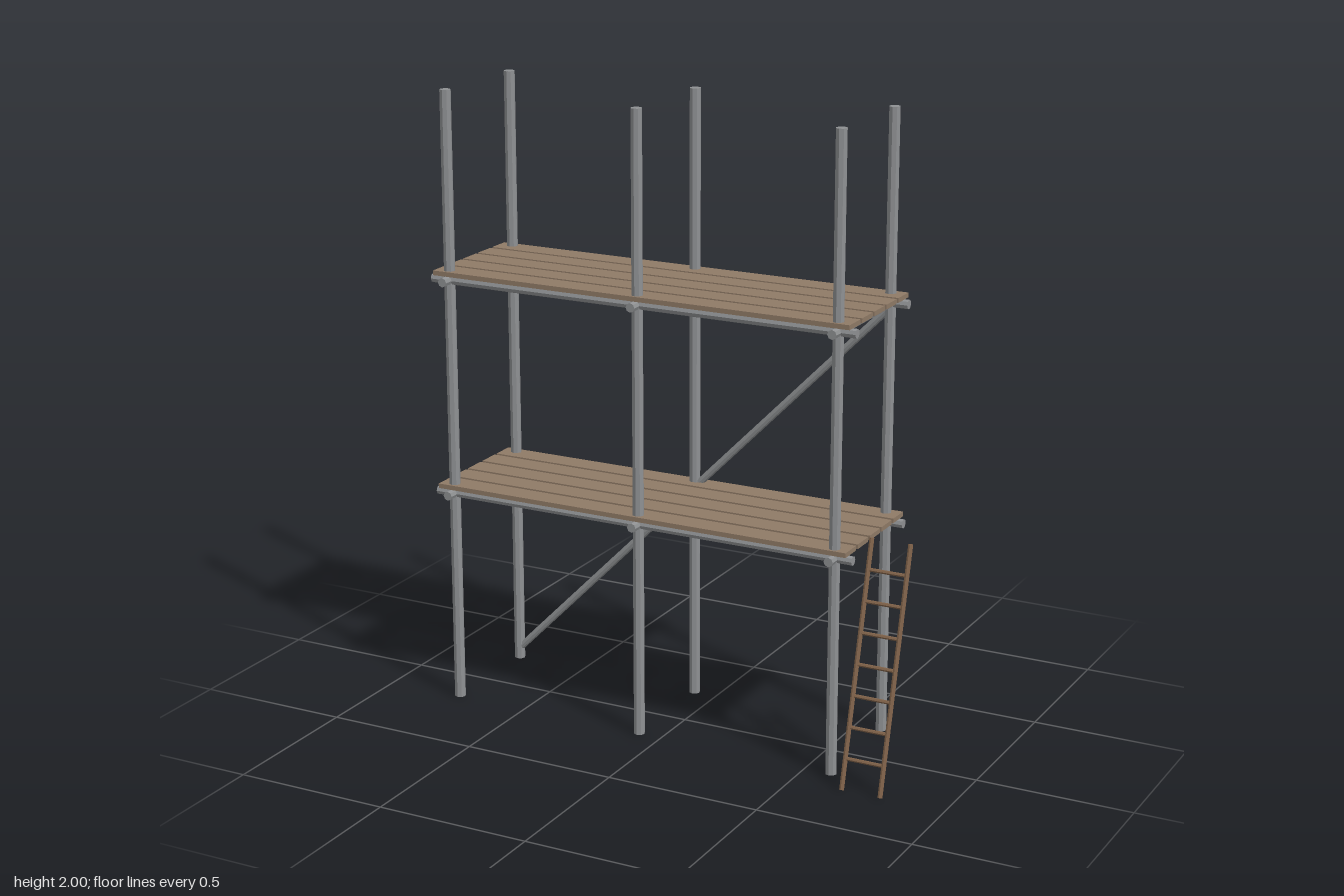
import * as THREE from 'three';

const V = (x, y, z) => new THREE.Vector3(x, y, z);

export function createModel() {
  const model = new THREE.Group();
  model.name = 'scaffold';

  const mat = (name, color) => {
    const m = new THREE.MeshStandardMaterial({ color, flatShading: true });
    m.name = name;
    return m;
  };
  const steel = mat('galvanised steel', 0x8e9092);
  const plankWood = mat('plank wood', 0x8f7a66);
  const ladderWood = mat('ladder wood', 0x806249);

  // Straight round bar between two points
  const bar = (parent, name, a, b, radius, material, sides = 8) => {
    const dir = b.clone().sub(a);
    const mesh = new THREE.Mesh(
      new THREE.CylinderGeometry(radius, radius, dir.length(), sides), material);
    mesh.position.copy(a).add(b).multiplyScalar(0.5);
    mesh.quaternion.setFromUnitVectors(V(0, 1, 0), dir.normalize());
    mesh.name = name;
    parent.add(mesh);
  };

  const postX = [-0.745, -0.079, 0.587];
  const postZ = [0.16, -0.22];

  // Upright posts
  for (const x of postX) {
    for (const z of postZ) bar(model, 'post', V(x, 0, z), V(x, 2, z), 0.018, steel);
  }

  // Two decks: long ledgers, cross bars and five planks each
  for (const y of [0.7, 1.4]) {
    const deck = new THREE.Group();
    deck.name = 'deck';
    for (const z of postZ) bar(deck, 'ledger', V(-0.806, y, z), V(0.648, y, z), 0.015, steel);
    for (const x of postX) bar(deck, 'crossBar', V(x, y, 0.206), V(x, y, -0.266), 0.015, steel);
    for (let i = 0; i < 5; i++) {
      const plank = new THREE.Mesh(new THREE.BoxGeometry(1.425, 0.015, 0.076), plankWood);
      plank.position.set(-0.079, y + 0.022, -0.209 + i * 0.0888);
      plank.name = 'plank';
      deck.add(plank);
    }
    model.add(deck);
  }

  // Diagonal brace across the back
  bar(model, 'diagonalBrace', V(-0.745, 0.033, -0.22), V(0.587, 1.385, -0.22), 0.012, steel);

  // Leaning ladder beside the lower deck
  const ladder = new THREE.Group();
  ladder.name = 'ladder';
  const left = 0.793, right = 0.667;
  const at = (x, t) => V(x, 0.002 + 0.746 * t, 0.257 - 0.189 * t);
  for (const x of [left, right]) bar(ladder, 'ladderRail', at(x, 0), at(x, 1), 0.008, ladderWood);
  for (let i = 1; i < 8; i++) {
    bar(ladder, 'rung', at(right, i / 8), at(left, i / 8), 0.006, ladderWood, 6);
  }
  model.add(ladder);

  return model;
}
